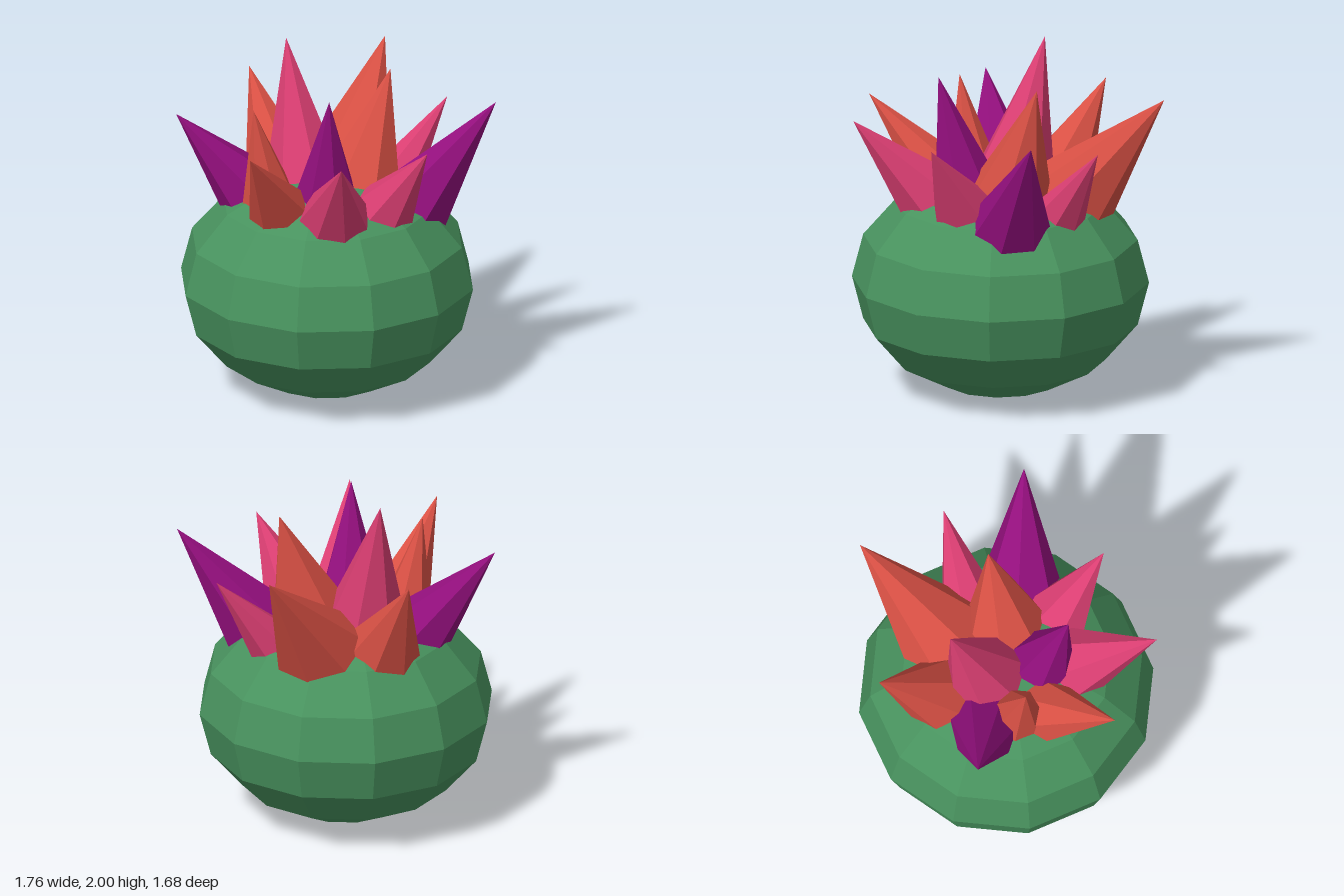
import * as THREE from 'three';

const material = (name, color) => {
  const m = new THREE.MeshStandardMaterial({ color, flatShading: true });
  m.name = name;
  return m;
};

export function createModel() {
  const group = new THREE.Group();
  group.name = 'spikyCactus';
  const green = material('cactus green', 0x48925e);
  const orange = material('petal orange', 0xd85044);
  const pink = material('petal pink', 0xda3e72);
  const purple = material('petal purple', 0x920f7c);

  // Squashed round body
  const R = 0.84, H = 0.65, CX = -0.04;
  const body = new THREE.Mesh(new THREE.SphereGeometry(R, 12, 8), green);
  body.name = 'body';
  body.scale.y = H / R;
  body.position.set(CX, H, 0);
  group.add(body);

  // Height of the body's surface above a point on the ground
  const surfaceY = (x, z) => H + H * Math.sqrt(1 - ((x - CX) ** 2 + z * z) / (R * R)) - 0.02;

  // Pointed petal: root on the surface (x, z), radius there, and tip; its base is sunk into the body
  const sink = 0.17;
  const up = new THREE.Vector3(0, 1, 0);
  function addPetal(name, mat, x, z, radius, tip) {
    const root = new THREE.Vector3(x, surfaceY(x, z), z);
    const end = new THREE.Vector3(...tip);
    const axis = end.clone().sub(root);
    const visible = axis.length();
    const length = visible + sink;
    axis.normalize();
    const geometry = new THREE.ConeGeometry(radius * length / visible, length, 7);
    const petal = new THREE.Mesh(geometry, mat);
    petal.name = name;
    petal.quaternion.setFromUnitVectors(up, axis);
    petal.position.copy(end).addScaledVector(axis, -length / 2);
    group.add(petal);
  }

  // Inner petals
  addPetal('tallPetal', pink, -0.13, -0.14, 0.22, [-0.17, 2.0, -0.34]);
  addPetal('innerFrontPetal', purple, -0.11, 0.2, 0.175, [-0.14, 1.86, 0.34]);
  addPetal('innerLeftPetal', orange, 0.17, 0.02, 0.22, [0.35, 1.86, -0.04]);
  addPetal('innerRightPetal', orange, -0.39, 0.01, 0.145, [-0.49, 1.74, 0.04]);

  // Outer petals
  addPetal('backLeftPetal', orange, 0.21, -0.36, 0.25, [0.55, 1.77, -0.74]);
  addPetal('backPetal', orange, -0.18, -0.43, 0.2, [-0.25, 1.68, -0.76]);
  addPetal('rightPetal', purple, -0.45, -0.19, 0.19, [-0.84, 1.64, -0.29]);
  addPetal('frontRightPetal', orange, -0.4, 0.21, 0.17, [-0.67, 1.64, 0.52]);
  addPetal('frontPetal', pink, -0.13, 0.42, 0.195, [-0.23, 1.64, 0.83]);
  addPetal('frontLeftPetal', pink, 0.2, 0.36, 0.17, [0.35, 1.59, 0.62]);
  addPetal('leftPetal', purple, 0.45, 0.16, 0.215, [0.88, 1.7, 0.25]);
  addPetal('leftBackPetal', pink, 0.43, -0.16, 0.14, [0.75, 1.57, -0.23]);

  return group;
}
